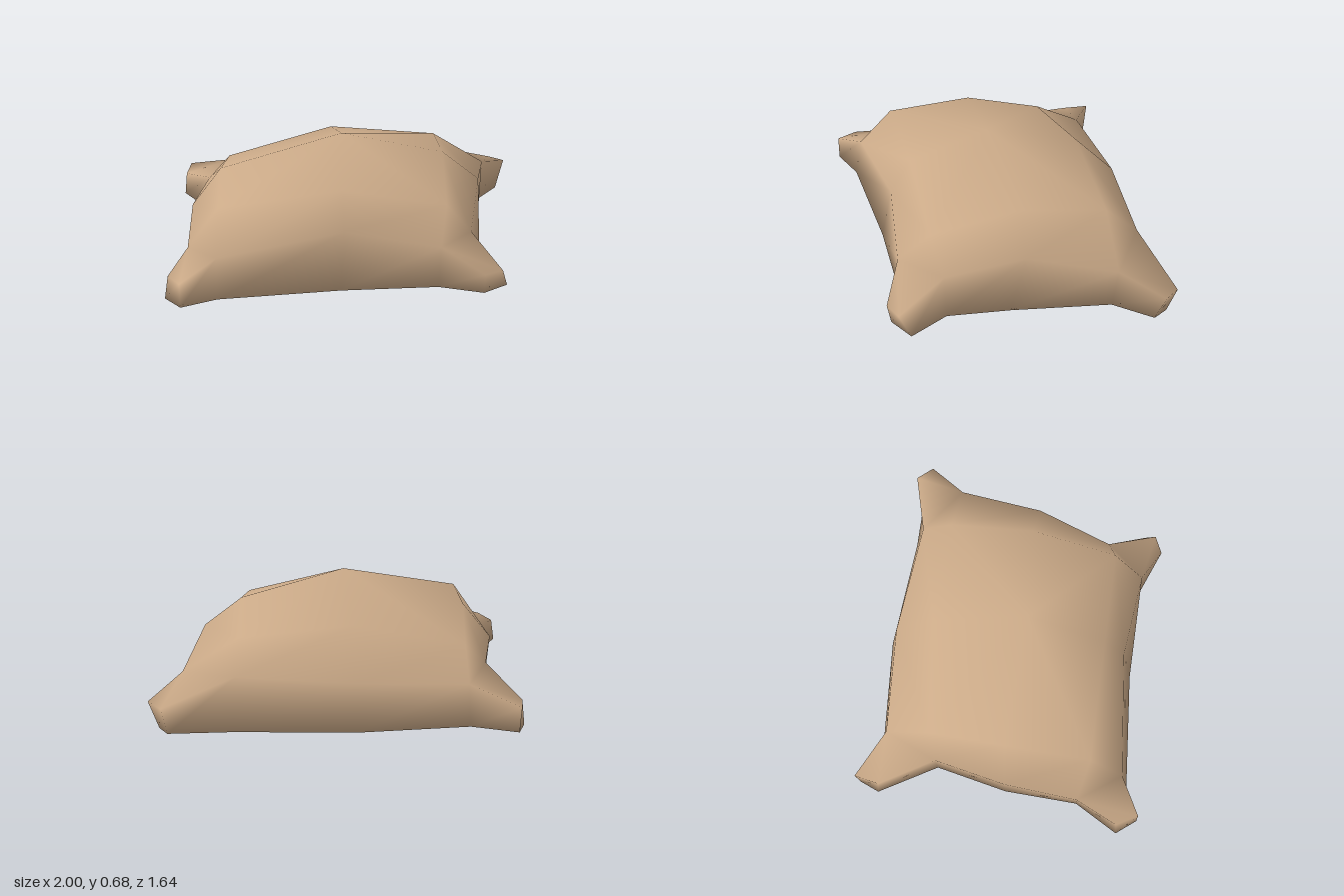
import * as THREE from 'three';

// Base outline (x, z): five points per side, front, right, back, left.
const BASE = [
  [-0.91, 0.815], [-0.72, 0.73], [-0.06, 0.65], [0.47, 0.625], [0.71, 0.70],
  [0.845, 0.61], [0.72, 0.40], [0.74, 0.05], [0.80, -0.50], [0.95, -0.70],
  [0.90, -0.78], [0.55, -0.76], [-0.10, -0.775], [-0.71, -0.70], [-0.96, -0.78],
  [-1.00, -0.67], [-0.80, -0.36], [-0.87, 0.05], [-0.87, 0.46], [-1.00, 0.71],
].map(([x, z]) => [x, 0.012, z]);

// Seam loop: sits low at the pinched corners and higher along the sides.
const SEAM = [
  [-0.91, 0.15, 0.815], [-0.72, 0.235, 0.69], [-0.04, 0.33, 0.59], [0.48, 0.25, 0.625], [0.71, 0.13, 0.72],
  [0.81, 0.13, 0.67], [0.665, 0.235, 0.40], [0.75, 0.365, -0.03], [0.835, 0.265, -0.52], [1.00, 0.18, -0.74],
  [0.925, 0.17, -0.825], [0.54, 0.30, -0.70], [-0.10, 0.27, -0.73], [-0.70, 0.24, -0.665], [-0.965, 0.16, -0.80],
  [-0.985, 0.15, -0.66], [-0.82, 0.25, -0.36], [-0.89, 0.26, 0.05], [-0.89, 0.19, 0.46], [-0.98, 0.14, 0.70],
];

// Shoulder loop: corner, then middle, of each side.
const SHOULDER = [
  [-0.715, 0.44, 0.50], [-0.05, 0.52, 0.47], [0.52, 0.42, 0.45], [0.54, 0.53, -0.04],
  [0.53, 0.455, -0.52], [-0.09, 0.515, -0.50], [-0.70, 0.37, -0.41], [-0.725, 0.47, 0.02],
];
const CROWN = [-0.04, 0.68, 0.03];
const FLOOR = [0, 0, 0];

// One smooth skin: underside, base loop, seam loop, shoulder loop, crown.
function cushionGeometry() {
  const n = BASE.length, m = SHOULDER.length, index = [];
  const crown = 2 * n + m, floor = crown + 1;
  const seam = (i) => n + (i % n);
  const shoulder = (k) => 2 * n + (k % m);

  // Underside fan and the band up to the seam
  for (let i = 0; i < n; i++) {
    const j = (i + 1) % n;
    index.push(floor, j, i, i, j, seam(j), i, seam(j), seam(i));
  }
  for (let s = 0; s < 4; s++) {
    const [near, mid, far, tipA, tipB, next] = [1, 2, 3, 4, 5, 6].map((o) => seam(5 * s + o));
    const [a, b, c] = [0, 1, 2].map((o) => shoulder(2 * s + o));
    // Side panel
    index.push(near, mid, b, near, b, a, mid, far, c, mid, c, b);
    // Pinched corner ear, with a fold where it meets the pad
    index.push(far, tipA, tipB, far, tipB, next, far, next, c);
    // Top panel
    index.push(a, b, crown, b, c, crown);
  }

  const geometry = new THREE.BufferGeometry();
  const points = [...BASE, ...SEAM, ...SHOULDER, CROWN, FLOOR];
  geometry.setAttribute('position', new THREE.Float32BufferAttribute(points.flat(), 3));
  geometry.setIndex(index);
  geometry.computeVertexNormals();
  return geometry;
}

export function createModel() {
  const group = new THREE.Group();
  group.name = 'cushion';
  const fabric = new THREE.MeshStandardMaterial({ color: 0xcbaa88 });
  fabric.name = 'tan fabric';

  const body = new THREE.Mesh(cushionGeometry(), fabric);
  body.name = 'paddedBody';
  group.add(body);
  return group;
}
